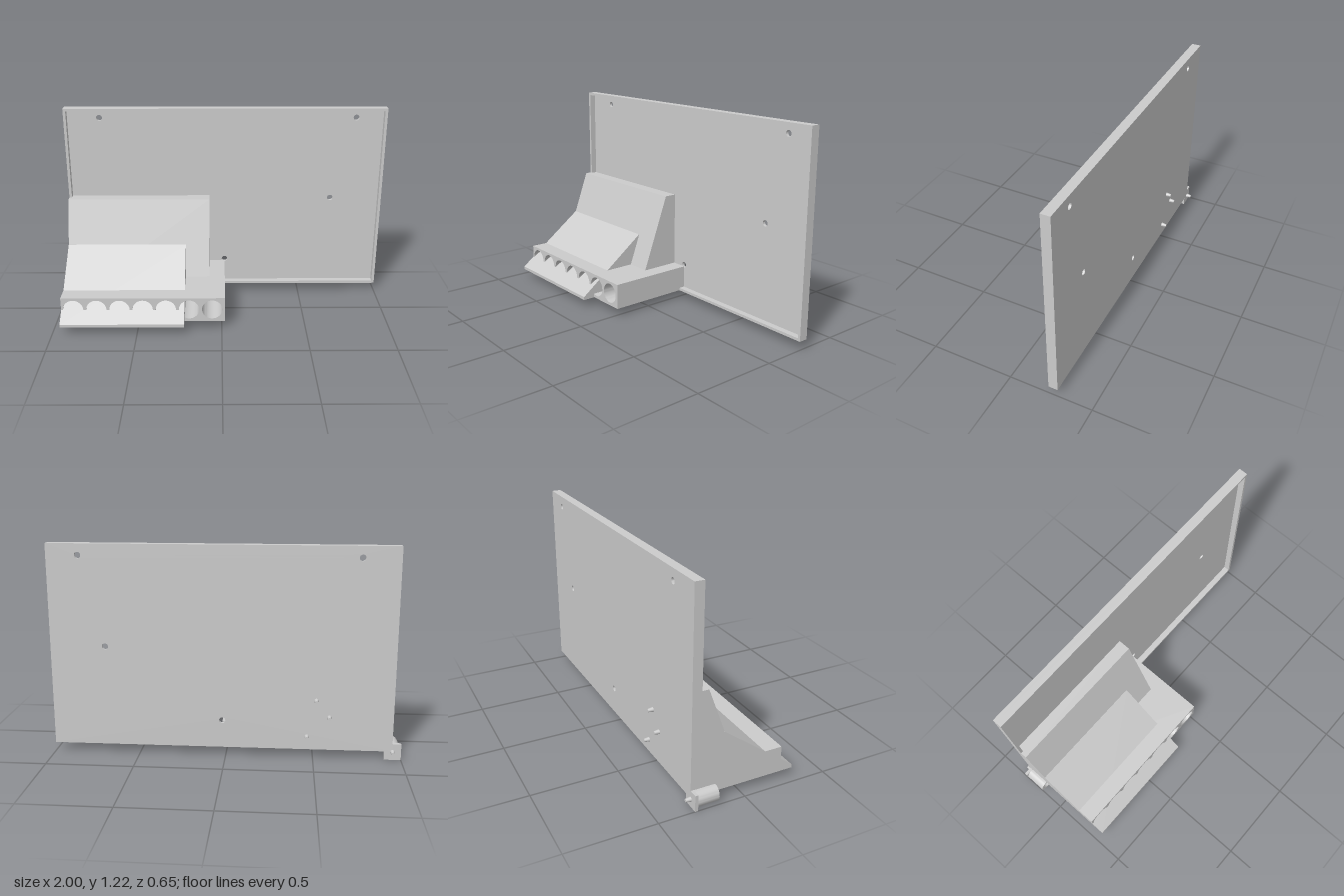
import * as THREE from 'three';
import { toCreasedNormals } from 'three/addons/utils/BufferGeometryUtils.js';

const material = new THREE.MeshStandardMaterial({ color: 0xcccccc });

function rect(x0, y0, x1, y1, Type = THREE.Shape) {
  return new Type([[x0, y0], [x1, y0], [x1, y1], [x0, y1]].map(p => new THREE.Vector2(...p)));
}

function circle(x, y, r, Type = THREE.Path) {
  const c = new Type();
  c.absarc(x, y, r, 0, Math.PI * 2, false);
  return c;
}

// Front-facing outline extruded from z0 to z1
function slab(name, shape, z0, z1) {
  const geo = new THREE.ExtrudeGeometry(shape, { depth: z1 - z0, bevelEnabled: false, curveSegments: 20 });
  geo.translate(0, 0, z0);
  const mesh = new THREE.Mesh(toCreasedNormals(geo, 0.6), material);
  mesh.name = name;
  return mesh;
}

// Side profile of [z, y] points extruded from x0 to x1
function prism(name, points, x0, x1) {
  const shape = new THREE.Shape(points.map(p => new THREE.Vector2(...p)));
  const geo = new THREE.ExtrudeGeometry(shape, { depth: x1 - x0, bevelEnabled: false });
  geo.rotateY(-Math.PI / 2).translate(x1, 0, 0);
  const mesh = new THREE.Mesh(geo, material);
  mesh.name = name;
  return mesh;
}

export function createModel() {
  const group = new THREE.Group();
  group.name = 'wallPanelWithDispenser';
  const left = -0.95, back = -0.295, floor = -0.277, front = -0.24;

  // Panel sheet with screw holes
  const sheet = rect(left, 0.053, 1, 1.22);
  for (const [x, y] of [[-0.74, 1.155], [0.82, 1.155], [0.685, 0.638], [0.02, 0.215]]) {
    sheet.holes.push(circle(x, y, 0.018));
  }
  group.add(slab('backPanel', sheet, back, floor));

  // Raised rim around the panel
  const rim = rect(left, 0.053, 1, 1.22);
  rim.holes.push(rect(left + 0.016, 0.069, 0.984, 1.204, THREE.Path));
  group.add(slab('panelRim', rim, floor, front));

  // Base block with a row of round tunnels
  const base = rect(left, 0.053, 0.02, 0.205);
  for (let i = 0; i < 7; i++) base.holes.push(circle(-0.057 - i * 0.137, 0.13, 0.06));
  group.add(slab('tunnelBlock', base, floor, 0.25));

  // Steep backing and long ramp, both running down through the tunnels
  group.add(prism('steepBacking',
    [[floor, 0.053], [0.018, 0.053], [-0.203, 0.655], [floor, 0.655]], left, -0.075));
  group.add(prism('ramp',
    [[-0.2, 0.053], [0.325, 0.053], [0.325, 0.072], [-0.105, 0.392], [-0.2, 0.392]], left, -0.222));

  // Corner mount: square plate and hollow barrel
  group.add(slab('mountPlate', rect(-1, 0.003, -0.905, 0.098), back, floor));
  const barrel = circle(-0.952, 0.05, 0.047, THREE.Shape);
  barrel.holes.push(circle(-0.952, 0.05, 0.033));
  group.add(slab('mountBarrel', barrel, floor, -0.152));

  // Tapered studs on the rear face
  for (const [x, y] of [[-0.515, 0.345], [-0.59, 0.247], [-0.465, 0.13], [-0.952, 0.05]]) {
    const stud = new THREE.Mesh(new THREE.CylinderGeometry(0.014, 0.009, 0.035, 20), material);
    stud.name = 'rearStud';
    stud.rotation.x = Math.PI / 2;
    stud.position.set(x, y, -0.308);
    group.add(stud);
  }
  return group;
}
